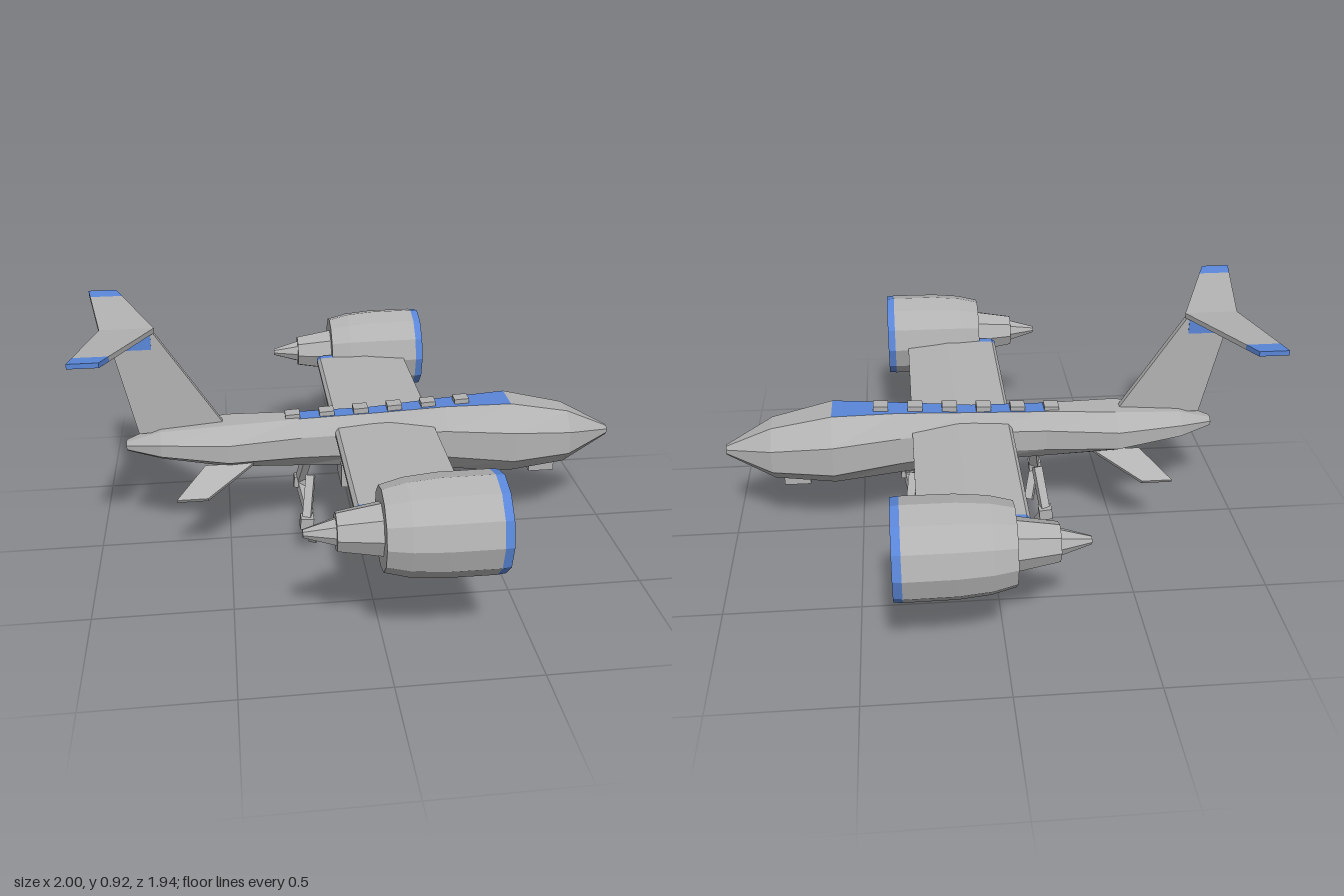
import * as THREE from 'three';
import { ConvexGeometry } from 'three/addons/geometries/ConvexGeometry.js';

const hullGrey = new THREE.MeshStandardMaterial({ color: 0xb2b2b2 });
hullGrey.name = 'hull grey';
const trimBlue = new THREE.MeshStandardMaterial({ color: 0x5a86d8 });
trimBlue.name = 'trim blue';

export function createModel() {
  const model = new THREE.Group();
  model.name = 'aircraft';

  const add = (name, geometry, material = hullGrey, parent = model) => {
    const mesh = new THREE.Mesh(geometry, material);
    mesh.name = name;
    parent.add(mesh);
    return mesh;
  };
  const flat = (geometry) => {
    const g = geometry.index ? geometry.toNonIndexed() : geometry;
    g.computeVertexNormals();
    return g;
  };
  const box = (name, x0, x1, y0, y1, halfZ, material) => {
    const mesh = add(name, new THREE.BoxGeometry(x1 - x0, y1 - y0, halfZ * 2), material);
    mesh.position.set((x0 + x1) / 2, (y0 + y1) / 2, 0);
    return mesh;
  };
  const hull = (name, points, material) =>
    add(name, new ConvexGeometry(points.map((p) => new THREE.Vector3(...p))), material);
  // Faceted turned part along x, from [radius, x] pairs
  const turned = (name, profile, sides, material, parent) => {
    const g = new THREE.LatheGeometry(profile.map((p) => new THREE.Vector2(...p)), sides);
    g.rotateZ(-Math.PI / 2);
    return add(name, flat(g), material, parent);
  };
  // Square bar between two points
  const bar = (name, a, b, width, parent) => {
    const from = new THREE.Vector3(...a), to = new THREE.Vector3(...b);
    const mesh = add(name, new THREE.BoxGeometry(width, width, from.distanceTo(to)), hullGrey, parent);
    mesh.position.copy(from).add(to).multiplyScalar(0.5);
    mesh.lookAt(to);
    return mesh;
  };

  // Fuselage: octagonal sections [x, centre y, half height, half width]
  const sections = [
    [-0.87, 0.432, 0.018, 0.025], [-0.74, 0.44, 0.055, 0.09], [-0.49, 0.43, 0.085, 0.13],
    [-0.22, 0.421, 0.098, 0.085], [0.06, 0.417, 0.108, 0.074], [0.34, 0.412, 0.13, 0.105],
    [0.59, 0.407, 0.143, 0.155], [0.82, 0.392, 0.108, 0.112], [1, 0.39, 0.018, 0.016],
  ];
  const c = 1 / Math.cos(Math.PI / 8);
  const rings = sections.map(([x, y, h, w]) => Array.from({ length: 8 }, (_, k) => {
    const a = (k + 0.5) * Math.PI / 4;
    return [x, y + h * c * Math.sin(a), w * c * Math.cos(a)];
  }));
  const skin = [], stripe = [];
  for (let i = 0; i < rings.length - 1; i++) {
    for (let k = 0; k < 8; k++) {
      const n = (k + 1) % 8;
      const A = rings[i][k], B = rings[i][n], C = rings[i + 1][n], D = rings[i + 1][k];
      const target = k === 1 && i >= 3 && i <= 5 ? stripe : skin;
      target.push(...A, ...D, ...C, ...A, ...C, ...B);
    }
  }
  const tail = rings[0], nose = rings[rings.length - 1];
  for (let k = 1; k < 7; k++) {
    skin.push(...tail[0], ...tail[k], ...tail[k + 1]);
    skin.push(...nose[0], ...nose[k + 1], ...nose[k]);
  }
  const faces = (list) => flat(new THREE.BufferGeometry()
    .setAttribute('position', new THREE.Float32BufferAttribute(list, 3)));
  add('fuselage', faces(skin));
  add('spineStripe', faces(stripe), trimBlue);

  // Row of small blocks along the spine
  for (let i = 0; i < 6; i++) {
    const x = -0.243 + i * 0.13, y = 0.526 + x * 0.045;
    box('spineBlock', x - 0.028, x + 0.028, y - 0.03, y + 0.018, 0.026).rotation.z = 0.05;
  }

  // Wing with blue tips
  const profile = new THREE.Shape([
    [0.29, 0.462], [0.29, 0.48], [0.12, 0.495], [-0.075, 0.485], [-0.088, 0.472], [-0.088, 0.458], [0.12, 0.455],
  ].reverse().map((p) => new THREE.Vector2(...p)));
  const span = (name, z0, z1, material) => {
    const g = new THREE.ExtrudeGeometry(profile, { depth: z1 - z0, bevelEnabled: false });
    add(name, g.translate(0, 0, z0), material);
  };
  span('wing', -0.66, 0.66);
  span('wingTipLeft', 0.66, 0.69, trimBlue);
  span('wingTipRight', -0.69, -0.66, trimBlue);

  // Engines
  for (const s of [1, -1]) {
    const engine = new THREE.Group();
    engine.name = s > 0 ? 'engineLeft' : 'engineRight';
    engine.position.set(0, 0.472, s * 0.8);
    model.add(engine);
    turned('nacelle', [[0, -0.02], [0.14, -0.02], [0.16, 0.06], [0.17, 0.17], [0.171, 0.345]], 12, hullGrey, engine);
    turned('intakeRing', [[0.171, 0.345], [0.168, 0.375], [0.154, 0.375]], 12, trimBlue, engine);
    turned('intake', [[0.154, 0.375], [0.148, 0.27], [0, 0.27]], 12, hullGrey, engine);
    turned('spinner', [[0.042, 0.27], [0.036, 0.3], [0, 0.37]], 8, hullGrey, engine);
    turned('exhaust', [[0, -0.165], [0.066, -0.165], [0.092, -0.015]], 8, hullGrey, engine);
    turned('exhaustCone', [[0, -0.27], [0.014, -0.27], [0.048, -0.16]], 8, hullGrey, engine);
  }

  // Tail fin with its blue band
  const finOutline = [[-0.5, 0.5], [-0.82, 0.48], [-0.905, 0.885], [-0.745, 0.885]];
  hull('tailFin', finOutline.flatMap(([x, y]) => [[x, y, 0.012], [x, y, -0.012]]));
  box('finBand', -0.925, -0.75, 0.815, 0.872, 0.014, trimBlue);

  // Tailplane: swept, slightly raised panels with blue tips
  const chord = (t, s) => {
    const lead = -0.735 - 0.16 * t, trail = -0.93 - 0.07 * t, y = 0.875 + 0.026 * t;
    return [[lead, y, s * 0.388 * t], [trail, y, s * 0.388 * t],
      [lead, y + 0.018, s * 0.388 * t], [trail, y + 0.018, s * 0.388 * t]];
  };
  for (const s of [1, -1]) {
    const side = s > 0 ? 'Left' : 'Right';
    hull('tailplane' + side, [...chord(0, s), ...chord(0.83, s)]);
    hull('tailplaneTip' + side, [...chord(0.83, s), ...chord(1, s)], trimBlue);

    // Drooping fins under the tail
    const droop = [[-0.4, 0.355, 0.075], [-0.58, 0.355, 0.075], [-0.69, 0.275, 0.19], [-0.575, 0.275, 0.19]];
    hull('ventralFin' + side, droop.flatMap(([x, y, z]) => [[x, y, s * z], [x, y + 0.014, s * (z + 0.008)]]));

    // Jointed legs, front and rear
    for (const [x, d] of [[-0.185, -1], [0.29, 1]]) {
      const leg = new THREE.Group();
      leg.name = (d > 0 ? 'frontLeg' : 'rearLeg') + side;
      model.add(leg);
      const knee = [x + d * 0.025, 0.15, s * 0.17];
      bar('upperLeg', [x, 0.3, s * 0.08], knee, 0.032, leg);
      bar('lowerLeg', knee, [x - d * 0.005, 0.03, s * 0.1], 0.032, leg);
      const joint = add('knee', new THREE.BoxGeometry(0.05, 0.044, 0.046), hullGrey, leg);
      joint.position.set(...knee);
      joint.rotation.z = d * 0.1;
    }
  }

  // Belly housing, centre post and foot, nose sensor
  box('bellyHousing', -0.065, 0.17, 0.235, 0.33, 0.07);
  box('centrePost', 0.03, 0.075, 0.02, 0.24, 0.023);
  box('foot', 0, 0.105, 0, 0.03, 0.02);
  box('noseSensor', 0.69, 0.79, 0.235, 0.3, 0.026);

  return model;
}
